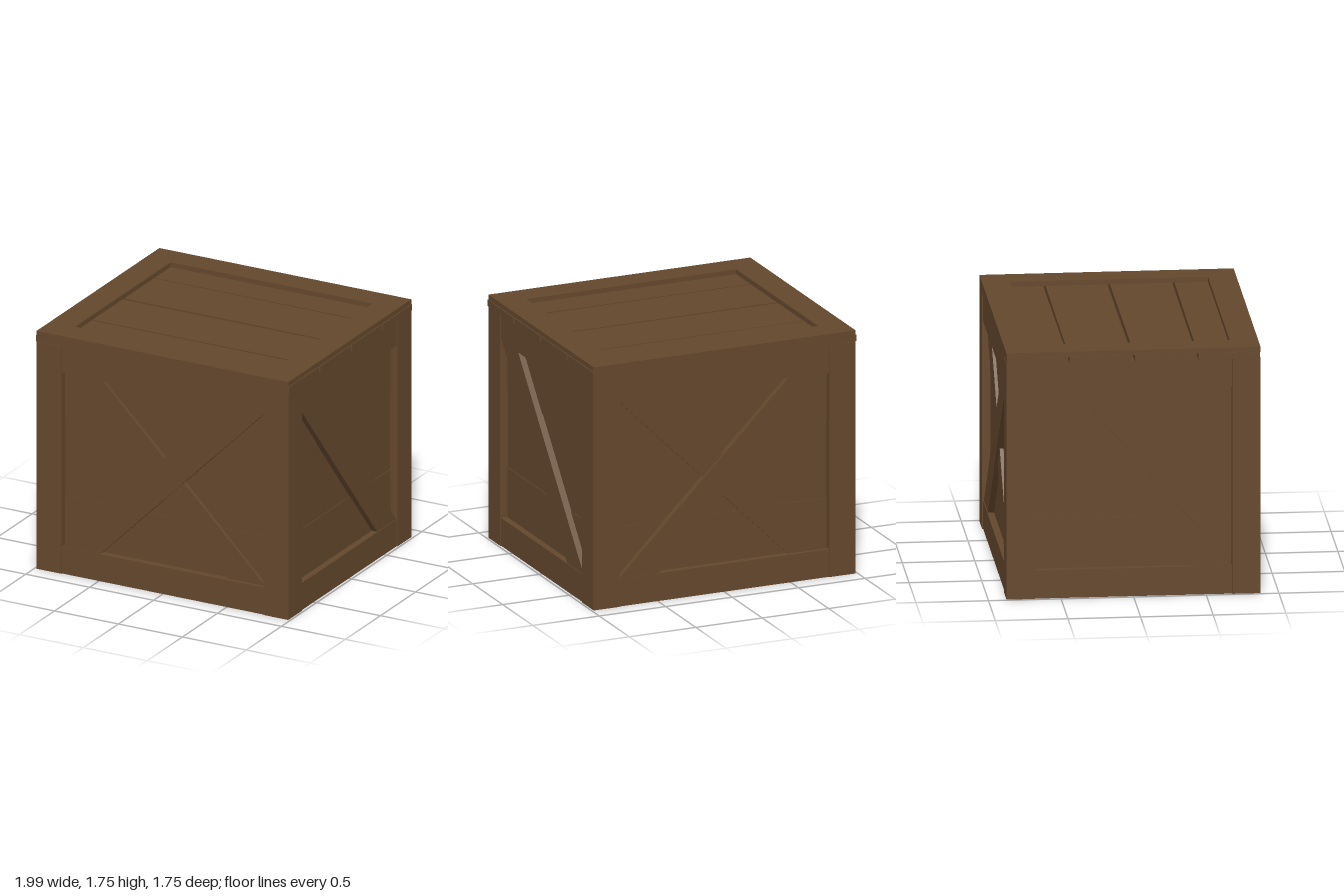
import * as THREE from 'three';

const HX = 0.985, HZ = 0.875;      // half width and half depth of the body
const BODY = 1.675, TOP = 1.755;   // body height and overall height
const POST = 0.195;                // post and rail width
const LOW = 0.2, HIGH = 1.48;      // panel opening

export function createModel() {
  const crate = new THREE.Group();
  crate.name = 'crate';
  const wood = new THREE.MeshStandardMaterial({ color: 0x64472d });
  wood.name = 'brown wood';

  const add = (parent, name, geometry, x = 0, y = 0, z = 0) => {
    const mesh = new THREE.Mesh(geometry, wood);
    mesh.name = name;
    mesh.position.set(x, y, z);
    parent.add(mesh);
    return mesh;
  };
  const box = (parent, name, w, h, d, x, y, z) =>
    add(parent, name, new THREE.BoxGeometry(w, h, d), x, y, z);

  // Slanted board filling the opening from one corner to the other
  const brace = (parent, name, half, width, rising, back, front) => {
    const s = rising ? 1 : -1;
    const pts = [[-half, LOW], [-half + width, LOW], [half, HIGH], [half - width, HIGH]]
      .map(([x, y]) => new THREE.Vector2(s * x, y));
    const geometry = new THREE.ExtrudeGeometry(new THREE.Shape(pts),
      { depth: front - back, bevelEnabled: false });
    add(parent, name, geometry, 0, 0, back);
  };

  // One wall facing local +z: planks, rails and braces
  const wall = (name, half, face, angle, crossed) => {
    const g = new THREE.Group();
    g.name = name;
    const inner = half - POST;
    const step = BODY / 3;
    for (let i = 0; i < 3; i++) {
      const front = face - (i === 1 ? 0.059 : 0.054);
      box(g, 'wallPlank', inner * 2, step, 0.04, 0, step * (i + 0.5), front - 0.02);
    }
    const railFront = face - 0.007;
    box(g, 'bottomRail', inner * 2, LOW, 0.07, 0, LOW / 2, railFront - 0.035);
    box(g, 'topRail', inner * 2, BODY - HIGH, 0.07, 0, (BODY + HIGH) / 2, railFront - 0.035);
    if (crossed) {
      brace(g, 'rearBrace', inner, 0.3, false, face - 0.065, face - 0.032);
      brace(g, 'frontBrace', inner, 0.3, true, face - 0.065, face - 0.012);
    } else {
      brace(g, 'sideBrace', inner, 0.27, false, face - 0.065, face - 0.012);
    }
    g.rotation.y = angle;
    crate.add(g);
  };
  wall('frontWall', HX, HZ, 0, true);
  wall('backWall', HX, HZ, Math.PI, true);
  wall('leftWall', HZ, HX, Math.PI / 2, false);
  wall('rightWall', HZ, HX, -Math.PI / 2, false);

  // Corner posts
  for (const sx of [-1, 1]) for (const sz of [-1, 1]) {
    box(crate, 'cornerPost', POST, BODY, POST,
      sx * (HX - POST / 2), BODY / 2, sz * (HZ - POST / 2));
  }

  // Floor
  box(crate, 'floor', HX * 2 - 0.02, 0.03, HZ * 2 - 0.02, 0, 0.015, 0);

  // Lid planks, laid slightly askew with narrow gaps
  [[-0.663, 0.42, 0.002], [-0.229, 0.422, -0.002], [0.218, 0.424, 0.002], [0.659, 0.424, -0.002]]
    .forEach(([z, depth, turn]) => {
      box(crate, 'lidPlank', 1.985, 0.045, depth, 0, BODY + 0.0225, z).rotation.y = turn;
    });

  // Lid frame with a rectangular opening
  const rect = (path, x, z) => {
    path.moveTo(-x, -z).lineTo(x, -z).lineTo(x, z).lineTo(-x, z).lineTo(-x, -z);
    return path;
  };
  const frame = rect(new THREE.Shape(), HX, HZ);
  frame.holes.push(rect(new THREE.Path(), HX - POST, HZ - POST));
  const lid = new THREE.ExtrudeGeometry(frame, { depth: TOP - BODY - 0.045, bevelEnabled: false });
  lid.rotateX(-Math.PI / 2);
  add(crate, 'lidFrame', lid, 0, BODY + 0.045, 0);

  return crate;
}
